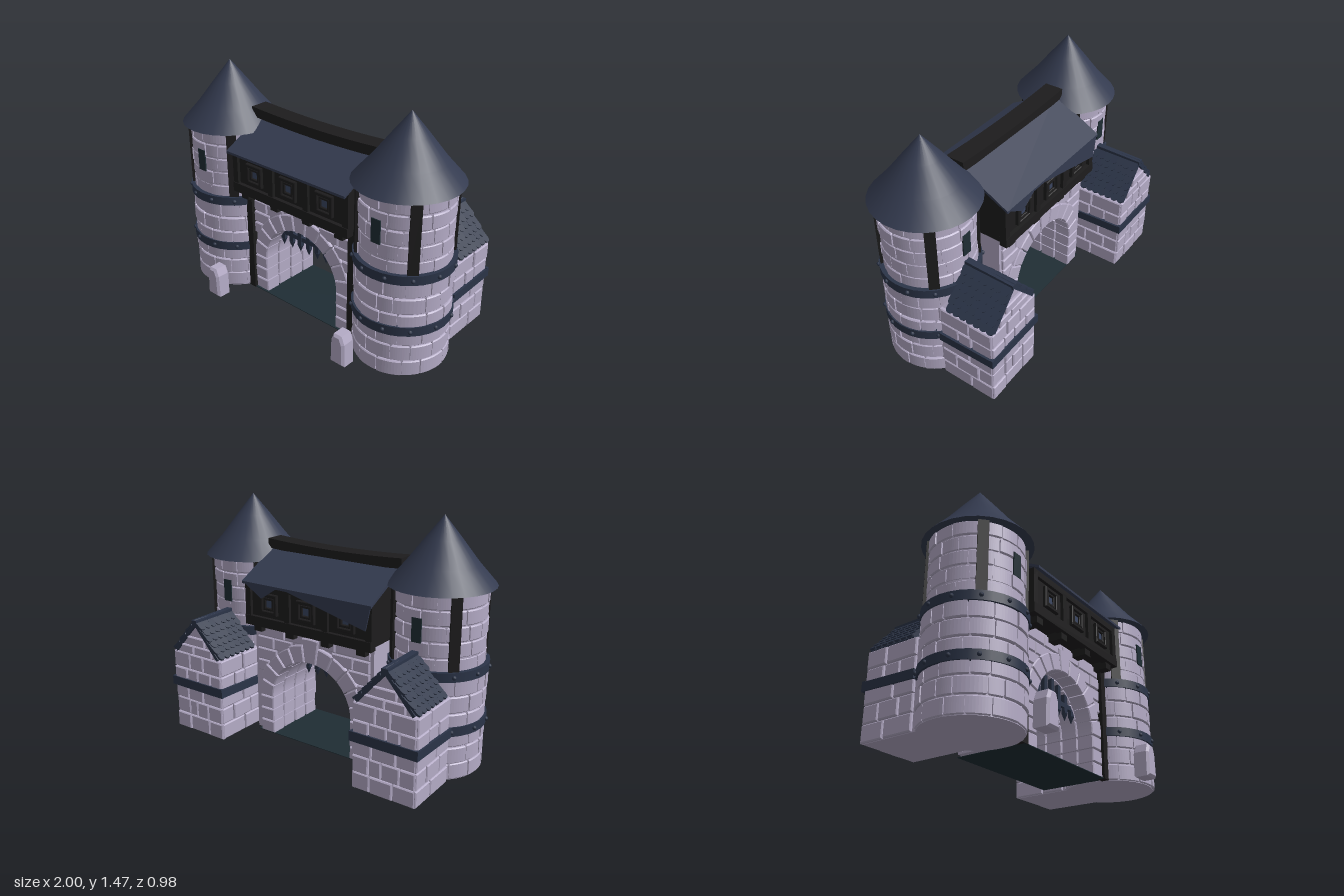
import * as THREE from 'three';
import { mergeGeometries } from 'three/addons/utils/BufferGeometryUtils.js';

const mat = (name, color) => {
  const m = new THREE.MeshStandardMaterial({ color });
  m.name = name;
  return m;
};

export function createModel() {
  const stone = mat('stone', 0xb4abc6), slate = mat('slate', 0x343b50);
  const iron = mat('iron', 0x2b3448), wood = mat('dark wood', 0x1d1c1d);
  const teal = mat('dark teal', 0x1f2d34), glass = mat('window glass', 0x3a4560);

  let seed = 7;
  const rand = (a, b) => {
    seed = (seed * 16807) % 2147483647;
    return a + (b - a) * (seed / 2147483647);
  };
  const root = new THREE.Group();
  root.name = 'gatehouse';
  const add = (parent, name, geo, material) => {
    const m = new THREE.Mesh(geo, material);
    m.name = name;
    parent.add(m);
    return m;
  };
  const merged = list => mergeGeometries(list.map(g => (g.index ? g.toNonIndexed() : g)));
  const box = (w, h, d, x, y, z) => new THREE.BoxGeometry(w, h, d).translate(x, y, z);

  // Bevelled block lying in the xy plane, extruded along z
  const block = (shape, depth, b = 0.006) => new THREE.ExtrudeGeometry(shape, {
    depth: depth - 2 * b, bevelThickness: b, bevelSize: b, bevelOffset: -b, bevelSegments: 1, curveSegments: 4,
  }).translate(0, 0, b);
  const poly = pts => new THREE.Shape(pts.map(p => new THREE.Vector2(...p)));
  const rect = (x0, y0, x1, y1) => poly([[x0, y0], [x1, y0], [x1, y1], [x0, y1]]);
  const sector = (r0, r1, a0, a1) => {
    const s = new THREE.Shape();
    s.absarc(0, 0, r1, a0, a1, false);
    s.absarc(0, 0, r0, a1, a0, true);
    return s;
  };

  // One ring of curved bricks round the tower axis
  const brickRing = (out, R, y, h, count) => {
    const step = Math.PI * 2 / count, start = rand(0, 1);
    const cuts = Array.from({ length: count }, (_, i) => start + step * (i + rand(-0.18, 0.18)));
    cuts.push(cuts[0] + Math.PI * 2);
    for (let i = 0; i < count; i++) {
      const g = block(sector(R - 0.04, R + rand(-0.005, 0.004), cuts[i] + 0.011, cuts[i + 1] - 0.011), h - 0.006);
      out.push(g.rotateX(-Math.PI / 2).translate(0, y + 0.003, 0));
    }
  };

  // Flat course of bricks from x0 to x1, facing +z
  const course = (out, x0, x1, y, h, depth, count) => {
    const step = (x1 - x0) / count;
    let a = x0;
    for (let i = 1; i <= count; i++) {
      const b = i === count ? x1 : x0 + step * (i + rand(-0.2, 0.2));
      out.push(block(rect(a + 0.003, y + 0.003, b - 0.003, y + h - 0.003), depth + rand(-0.004, 0.003)));
      a = b;
    }
  };

  function tower(side) {
    const t = new THREE.Group();
    t.name = side > 0 ? 'leftTower' : 'rightTower';
    t.position.set(0.69 * side, 0, 0.1);
    add(t, 'towerCore', new THREE.CylinderGeometry(0.26, 0.274, 1.085, 32).translate(0, 0.5425, 0), stone);
    const bricks = [];
    for (let i = 0; i < 6; i++) brickRing(bricks, 0.284, i * 0.102, 0.102, 13 + (i % 2));
    for (let i = 0; i < 5; i++) brickRing(bricks, 0.27, 0.64 + i * 0.09, 0.09, 13 + (i % 2));
    add(t, 'towerBricks', merged(bricks), stone);

    // Iron hoops with rivets
    for (const y of [0.305, 0.63]) {
      const parts = [new THREE.CylinderGeometry(0.293, 0.293, 0.056, 32).translate(0, y, 0)];
      for (let i = 0; i < 12; i++) {
        const a = (i + 0.5) * Math.PI / 6;
        parts.push(new THREE.SphereGeometry(0.013, 8, 6).translate(Math.cos(a) * 0.294, y, Math.sin(a) * 0.294));
      }
      add(t, 'towerBand', merged(parts), iron);
    }

    // Corner posts under the roof
    for (let i = 0; i < 4; i++) {
      const post = box(0.06, 0.44, 0.05, 0, 0.87, 0.258).rotateY(Math.PI / 4 + i * Math.PI / 2);
      add(t, 'towerPost', post, wood);
    }
    // Slit windows, front and back
    for (const z of [1, -1]) {
      add(t, 'slitWindow', box(0.06, 0.14, 0.008, 0, 0.88, 0.271 * z), teal);
    }
    // Conical roof
    const profile = [[0.31, 1.085], [0.205, 1.205], [0.1, 1.343], [0, 1.47]].map(p => new THREE.Vector2(...p));
    const cone = add(t, 'towerRoof', new THREE.LatheGeometry(profile, 28), slate);
    const soffit = add(t, 'roofUnderside', new THREE.CircleGeometry(0.31, 28).rotateX(Math.PI / 2).translate(0, 1.085, 0), slate);
    cone.scale.z = soffit.scale.z = 1.03;
    root.add(t);
  }

  function annex(side) {
    const a = new THREE.Group();
    a.name = side > 0 ? 'leftAnnex' : 'rightAnnex';
    a.position.x = 0.688 * side;
    const w = 0.2, eave = 0.51, back = -0.48;
    const pent = poly([[-w + 0.012, 0], [w - 0.012, 0], [w - 0.012, eave], [0, 0.715], [-w + 0.012, eave]]);
    add(a, 'annexCore', new THREE.ExtrudeGeometry(pent, { depth: 0.37, bevelEnabled: false }).translate(0, 0, back + 0.012), stone);

    // Brick facing on the back gable and both flanks
    const gable = [], flank = [];
    for (let i = 0; i < 5; i++) {
      const h = (eave + 0.015) / 5;
      course(gable, -w, w, i * h, h, 0.03, 3 + (i % 2));
      course(flank, 0, 0.36, i * h, h, 0.03, 2 + (i % 2));
    }
    course(gable, -0.13, 0.13, eave + 0.015, 0.06, 0.03, 2);
    course(gable, -0.075, 0.075, eave + 0.075, 0.06, 0.03, 1);
    const gm = add(a, 'gableBricks', merged(gable), stone);
    gm.rotation.y = Math.PI;
    gm.position.z = back + 0.026;
    const fg = merged(flank);
    for (const s of [1, -1]) {
      const m = add(a, 'flankBricks', fg, stone);
      m.rotation.y = s * Math.PI / 2;
      m.position.set(s * (w - 0.026), 0, s > 0 ? -0.12 : back);
      const band = add(a, 'annexSideBand', box(0.022, 0.054, 0.375, 0, 0, 0), iron);
      band.position.set(s * (w + 0.004), 0.314, -0.304);
      band.rotation.x = 0.03;
    }
    add(a, 'annexBackBand', box(2 * w + 0.03, 0.058, 0.022, 0, 0.32, back - 0.002), iron);

    // Scalloped tiles in overlapping rows
    const tile = new THREE.Shape();
    tile.moveTo(-0.023, 0.05).lineTo(-0.023, -0.01);
    tile.absarc(0, -0.01, 0.023, Math.PI, Math.PI * 2, false);
    tile.lineTo(0.023, 0.05);
    const tiles = [box(0.32, 0.285, 0.02, 0, -0.14, -0.01)];
    for (let r = 0; r < 6; r++) for (let c = 0; c < 7; c++) {
      const g = new THREE.ExtrudeGeometry(tile, { depth: 0.013, bevelEnabled: false, curveSegments: 5 });
      g.rotateX(-0.14).rotateZ(rand(-0.08, 0.08));
      const x = -0.14 + c * 0.0455 + (r % 2 ? 0.008 : 0);
      tiles.push(g.translate(x, -0.045 - r * 0.044, 0.001));
    }
    const tg = merged(tiles).rotateX(-0.72);
    for (const s of [1, -1]) {
      const m = add(a, 'annexRoof', tg, iron);
      m.rotation.y = s * Math.PI / 2;
      m.position.set(0, 0.75, -0.322);
    }
    const cap = add(a, 'annexRidge', box(0.04, 0.025, 0.33, 0, 0, 0), iron);
    cap.position.set(0, 0.747, -0.322);
    cap.rotation.x = -0.02;
    root.add(a);
  }

  for (const s of [1, -1]) {
    tower(s);
    annex(s);

    // Roadside marker stones
    const marker = poly([[-0.053, 0], [0.053, 0], [0.048, 0.15], [0.028, 0.2], [-0.028, 0.2], [-0.048, 0.15]]);
    const m = add(root, 'markerStone', block(marker, 0.102, 0.014), stone);
    m.position.set(0.53 * s, 0, 0.388);
    add(root, 'gatePost', box(0.05, 0.73, 0.05, 0.42 * s, 0.365, 0.215), wood);
  }

  // Gate wall with arched passage
  const spring = 0.25, wall = new THREE.Shape();
  wall.moveTo(0.44, 0.01).lineTo(0.44, 0.73).lineTo(-0.44, 0.73).lineTo(-0.44, 0.01).lineTo(-0.308, 0.01);
  wall.lineTo(-0.308, spring);
  wall.absarc(0, spring, 0.308, Math.PI, 0, true);
  wall.lineTo(0.308, 0.01);
  add(root, 'gateWall', new THREE.ExtrudeGeometry(wall, { depth: 0.4, bevelEnabled: false, curveSegments: 20 })
    .translate(0, 0, -0.195), stone);

  // Arch stones and jambs, lining the passage in four layers
  const arch = [];
  for (let k = 0; k < 4; k++) {
    const z = -0.22 + k * 0.1125, n = k % 3 ? 9 : 11;
    for (let i = 0; i < n; i++) {
      const step = Math.PI / n, key = i === (n - 1) / 2 ? 0.045 : 0;
      arch.push(block(sector(0.294, 0.4 + key + rand(-0.008, 0.008), i * step + 0.008, (i + 1) * step - 0.008), 0.108)
        .translate(0, spring, z));
    }
    for (const s of [1, -1]) for (let j = 0; j < 3; j++) {
      const h = spring / 3;
      const g = block(rect(-0.052, 0.003, 0.052, h - 0.003), 0.108);
      arch.push(g.translate(s * (0.346 + rand(-0.003, 0.003)), j * h, z));
    }
  }
  add(root, 'archStones', merged(arch), stone);

  // Brick courses above the arch, front and back
  const spandrel = [];
  for (let i = 0; i < 4; i++) {
    const y = 0.41 + i * 0.078;
    const x0 = Math.sqrt(Math.max(0, 0.385 ** 2 - (y + 0.04 - spring) ** 2));
    for (const s of [1, -1]) course(spandrel, Math.min(s * x0, s * 0.42), Math.max(s * x0, s * 0.42), y, 0.078, 0.03, i > 1 ? 2 : 1);
  }
  const sg = merged(spandrel);
  add(root, 'frontSpandrelBricks', sg, stone).position.z = 0.188;
  const backBricks = add(root, 'backSpandrelBricks', sg, stone);
  backBricks.rotation.y = Math.PI;
  backBricks.position.z = -0.178;
  add(root, 'passageFloor', box(0.84, 0.004, 0.45, 0, 0.002, 0.01), teal);

  // Raised portcullis
  const bars = [box(0.54, 0.03, 0.02, 0, 0.42, 0.1)];
  for (let i = -3; i <= 4; i++) {
    const x = (i - 0.5) * 0.072, top = spring + Math.sqrt(0.3 ** 2 - x * x);
    bars.push(box(0.03, top - 0.37, 0.024, x, (top + 0.37) / 2, 0.1));
    bars.push(new THREE.ConeGeometry(0.019, 0.05, 4).rotateY(Math.PI / 4).rotateX(Math.PI).translate(x, 0.348, 0.1));
  }
  add(root, 'portcullis', merged(bars), iron);

  // Timber gallery over the gate
  const gallery = new THREE.Group();
  gallery.name = 'timberGallery';
  root.add(gallery);
  const section = poly([[-0.27, 0.74], [0.27, 0.74], [0.27, 1.0], [0, 1.14], [-0.27, 1.0]]);
  add(gallery, 'galleryBody', new THREE.ExtrudeGeometry(section, { depth: 0.9, bevelEnabled: false })
    .rotateY(Math.PI / 2).translate(-0.45, 0, 0.03), wood);
  for (const x of [-0.38, -0.13, 0.13, 0.38]) {
    add(gallery, 'joist', box(0.06, 0.05, 0.55, x, 0.71, 0.03), wood);
  }
  const ring = (o, i) => {
    const s = rect(-o, -o, o, o);
    s.holes.push(rect(-i, -i, i, i));
    return s;
  };
  for (const s of [1, -1]) {
    const face = new THREE.Group();
    face.name = s > 0 ? 'galleryFront' : 'galleryBack';
    face.position.z = 0.03 + s * 0.27;
    if (s < 0) face.rotation.y = Math.PI;
    gallery.add(face);
    const frame = [box(0.92, 0.06, 0.05, 0, 0.755, 0), box(0.92, 0.04, 0.04, 0, 0.985, 0)];
    for (const x of [-0.44, -0.14, 0.14, 0.44]) frame.push(box(0.04, 0.25, 0.04, x, 0.87, 0));
    add(face, 'galleryFrame', merged(frame), wood);
    for (const x of [-0.28, 0, 0.28]) {
      const rings = [block(ring(0.065, 0.043), 0.025, 0.004), block(ring(0.04, 0.024), 0.018, 0.003)];
      add(face, 'windowFrame', merged(rings), wood).position.set(x, 0.875, 0);
      add(face, 'windowPane', box(0.044, 0.044, 0.008, x, 0.875, 0.004), glass);
    }
  }

  // Slate flaps hanging from the back eave
  for (const pts of [[[0.15, 0.99], [-0.43, 0.85], [-0.46, 0.99]], [[0.45, 0.99], [0.32, 0.91], [0.2, 0.99]]]) {
    const flap = new THREE.ExtrudeGeometry(poly(pts), { depth: 0.008, bevelEnabled: false });
    add(gallery, 'slateFlap', flap.translate(0, 0, -0.277), slate);
  }

  // Pitched roof and sagging ridge beam
  const pitch = poly([[-0.32, 1.0], [-0.32, 0.985], [0, 1.145], [0.32, 0.985], [0.32, 1.0], [0, 1.17]]);
  add(gallery, 'galleryRoof', new THREE.ExtrudeGeometry(pitch, { depth: 0.935, bevelEnabled: false })
    .rotateY(Math.PI / 2).translate(-0.4675, 0, 0.04), slate);
  const beam = new THREE.BoxGeometry(0.97, 0.06, 0.12, 10, 1, 1), p = beam.attributes.position;
  for (let i = 0; i < p.count; i++) p.setY(i, p.getY(i) + 0.016 * (p.getX(i) / 0.485) ** 2);
  beam.computeVertexNormals();
  add(gallery, 'ridgeBeam', beam.translate(0, 1.169, 0.06), wood);
  return root;
}
